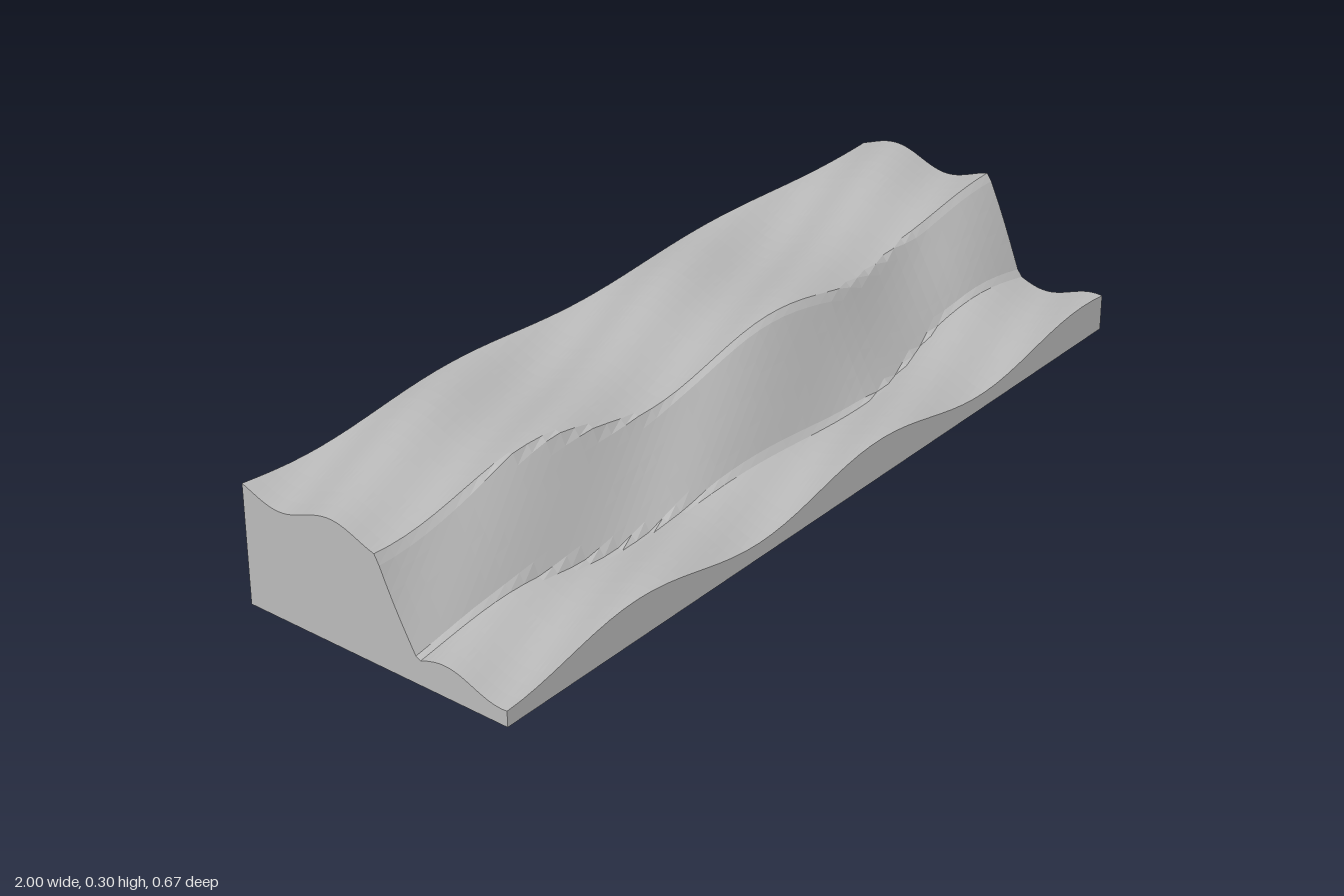
import * as THREE from 'three';

const { clamp, lerp, smoothstep } = THREE.MathUtils;
const wave = (phase) => Math.cos(phase * Math.PI * 2);

// Rolling bumps: diagonal ridges crossed by a gentler swell along x
const bumps = (x, z) =>
  0.018 * wave((x + 1) / 0.8 + (z + 0.1) / 0.28) +
  0.010 * wave((x - 0.12) / 0.74);

// The cliff bulges forward in the middle of the block
const bulge = (x) => smoothstep(x, -0.8, -0.15) * (1 - smoothstep(x, 0.3, 0.75));

// Ground height: high plateau at the back, steep bank, low shelf at the front
function groundHeight(x, z) {
  const b = bulge(x);
  const crest = 0.015 + 0.05 * b;
  const foot = 0.112 + 0.06 * b;
  const t = clamp((z - crest) / (foot - crest), 0, 1);
  return lerp(0.274, 0.063, t) + bumps(x, z);
}

export function createModel() {
  const group = new THREE.Group();
  group.name = 'terrainBlock';

  const stone = new THREE.MeshStandardMaterial({ color: 0xbcbcbc, flatShading: true });
  stone.name = 'stone grey';

  // Solid block whose top vertices are lifted to the ground height
  const geometry = new THREE.BoxGeometry(2, 1, 0.667, 48, 1, 56);
  const p = geometry.attributes.position;
  for (let i = 0; i < p.count; i++) {
    p.setY(i, p.getY(i) > 0 ? groundHeight(p.getX(i), p.getZ(i)) : 0);
  }
  geometry.clearGroups();
  geometry.computeVertexNormals();

  const terrain = new THREE.Mesh(geometry, stone);
  terrain.name = 'cliffTerrain';
  group.add(terrain);
  return group;
}
